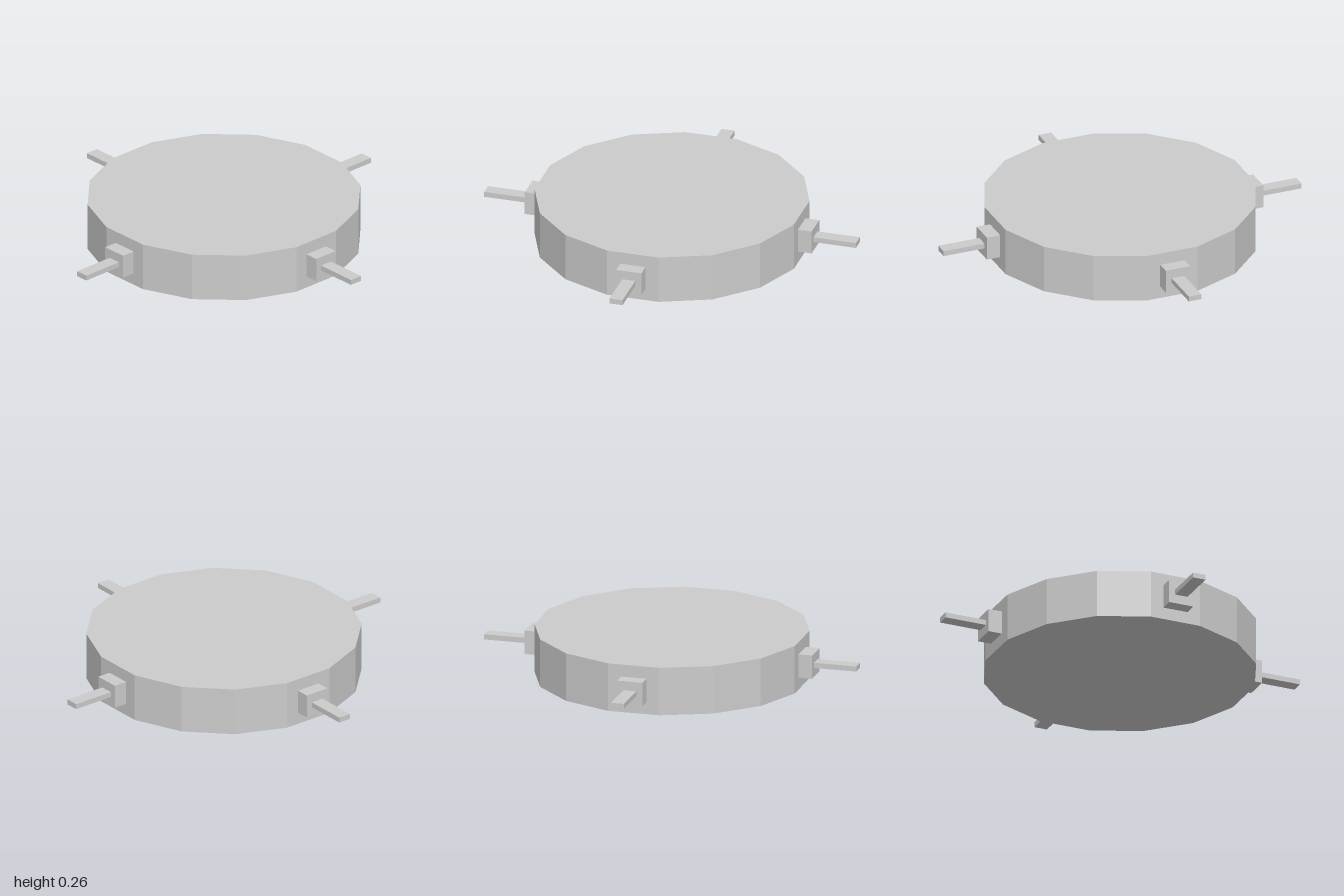
import * as THREE from 'three';

const SIDES = 16;
const HEIGHT = 0.256;
const APOTHEM = 0.698;

export function createModel() {
  const model = new THREE.Group();
  model.name = 'discWithArms';
  const material = new THREE.MeshStandardMaterial({ color: 0xcccccc, flatShading: true });

  const addMesh = (parent, name, geometry, x, y, z) => {
    const mesh = new THREE.Mesh(geometry, material);
    mesh.name = name;
    mesh.position.set(x, y, z);
    parent.add(mesh);
  };

  // Faceted disc, turned so that a flat side faces each axis
  const radius = APOTHEM / Math.cos(Math.PI / SIDES);
  const disc = new THREE.CylinderGeometry(radius, radius, HEIGHT, SIDES, 1, false, Math.PI / SIDES);
  addMesh(model, 'discBody', disc, 0, HEIGHT / 2, 0);

  // Block and flat bar, both starting inside the disc and pointing along +z
  const inner = 0.64;
  const socket = new THREE.BoxGeometry(0.136, 0.126, 0.772 - inner);
  const bar = new THREE.BoxGeometry(0.07, 0.028, 1 - inner);

  ['front', 'left', 'back', 'right'].forEach((side, i) => {
    const arm = new THREE.Group();
    arm.name = side + 'Arm';
    addMesh(arm, side + 'Socket', socket, 0, HEIGHT / 2, (0.772 + inner) / 2);
    addMesh(arm, side + 'Bar', bar, 0, HEIGHT / 2, (1 + inner) / 2);
    arm.rotation.y = i * Math.PI / 2;
    model.add(arm);
  });

  return model;
}
